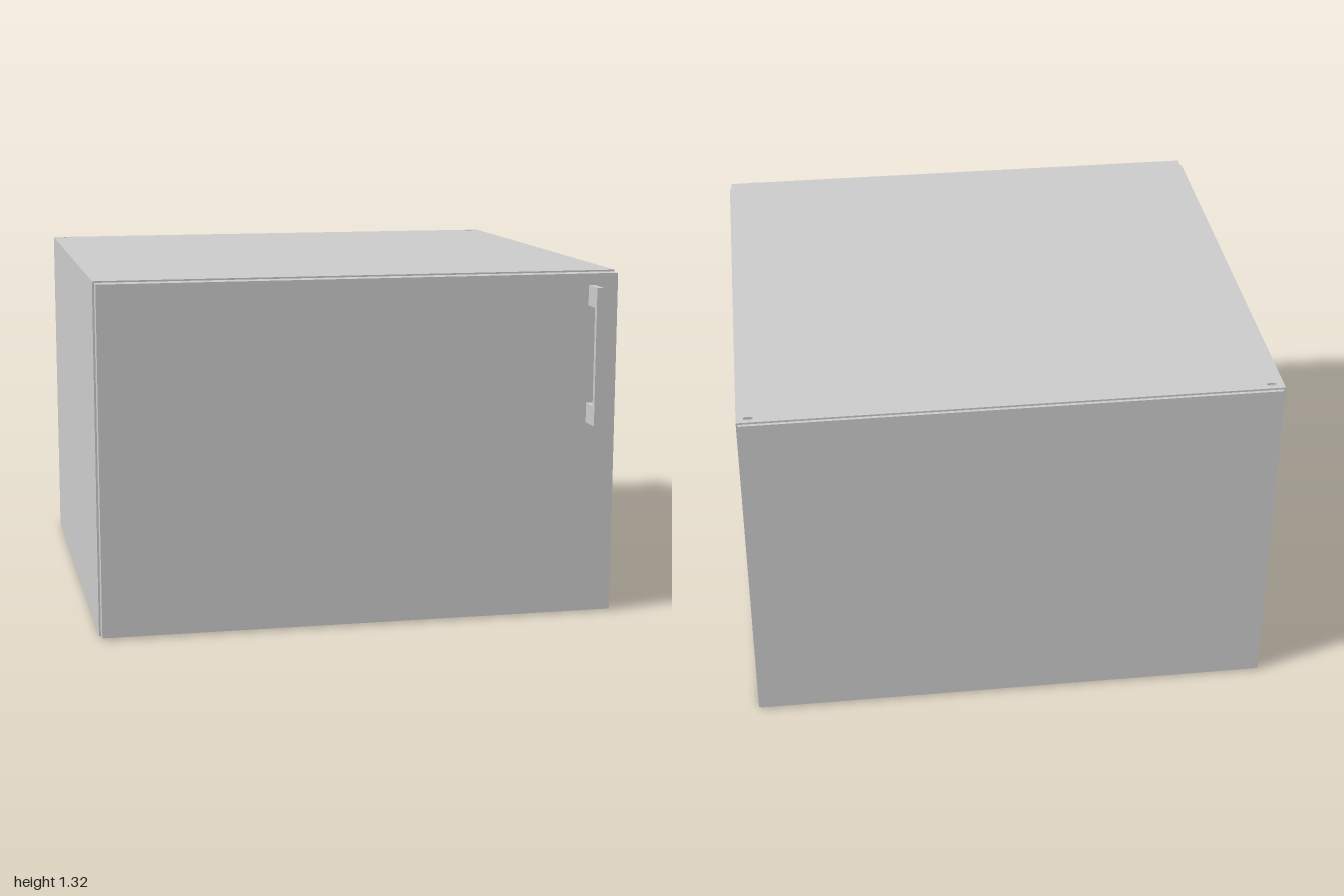
import * as THREE from 'three';

const W = 0.987, H = 1.317, T = 0.007; // half width, height, sheet thickness
const BACK = -0.988, FRONT = 0.85;

export function createModel() {
  const model = new THREE.Group();
  const material = new THREE.MeshStandardMaterial({ color: 0xcccccc, flatShading: true });

  const add = (name, geometry) => {
    const mesh = new THREE.Mesh(geometry, material);
    mesh.name = name;
    model.add(mesh);
    return mesh;
  };
  // Box given by its limits on each axis
  const box = (name, x0, x1, y0, y1, z0, z1) =>
    add(name, new THREE.BoxGeometry(x1 - x0, y1 - y0, z1 - z0))
      .position.set((x0 + x1) / 2, (y0 + y1) / 2, (z0 + z1) / 2);

  // Rounded slot, drawn in plan
  const slot = (cx, cy, half, r) => {
    const path = new THREE.Path();
    path.absarc(cx + half - r, cy, r, -Math.PI / 2, Math.PI / 2, false);
    path.absarc(cx - half + r, cy, r, Math.PI / 2, Math.PI * 1.5, false);
    path.closePath();
    return path;
  };

  // Top and bottom sheets with a mounting slot in each back corner
  const sheet = new THREE.Shape([
    new THREE.Vector2(-W, -FRONT), new THREE.Vector2(W, -FRONT),
    new THREE.Vector2(W, -BACK), new THREE.Vector2(-W, -BACK),
  ]);
  for (const side of [-1, 1]) sheet.holes.push(slot(side * 0.943, 0.96, 0.018, 0.008));
  const sheetGeometry = new THREE.ExtrudeGeometry(sheet, { depth: T, bevelEnabled: false, curveSegments: 8 });
  sheetGeometry.rotateX(-Math.PI / 2);
  add('bottomPanel', sheetGeometry);
  add('topPanel', sheetGeometry).position.y = H - T;

  // Side walls
  box('leftPanel', W - T, W, T, H - T, BACK, FRONT);
  box('rightPanel', -W, -W + T, T, H - T, BACK, FRONT);

  // Slightly inset back panel and door
  box('backPanel', -0.98, 0.98, 0.007, 1.31, -1, BACK);
  box('door', -0.98, 0.98, 0.007, 1.311, FRONT, 0.908);

  // Bracket handle, profiled in the z-y plane
  const z0 = 0.908, z1 = 0.98, z2 = 1;
  const bracket = new THREE.Shape([
    [z0, 0.745], [z2, 0.745], [z2, 1.267], [z0, 1.267],
    [z0, 1.19], [z1, 1.19], [z1, 0.82], [z0, 0.82],
  ].map(([z, y]) => new THREE.Vector2(-z, y)));
  const handleGeometry = new THREE.ExtrudeGeometry(bracket, { depth: 0.024, bevelEnabled: false });
  handleGeometry.rotateY(Math.PI / 2);
  add('handle', handleGeometry).position.x = 0.866;

  return model;
}
